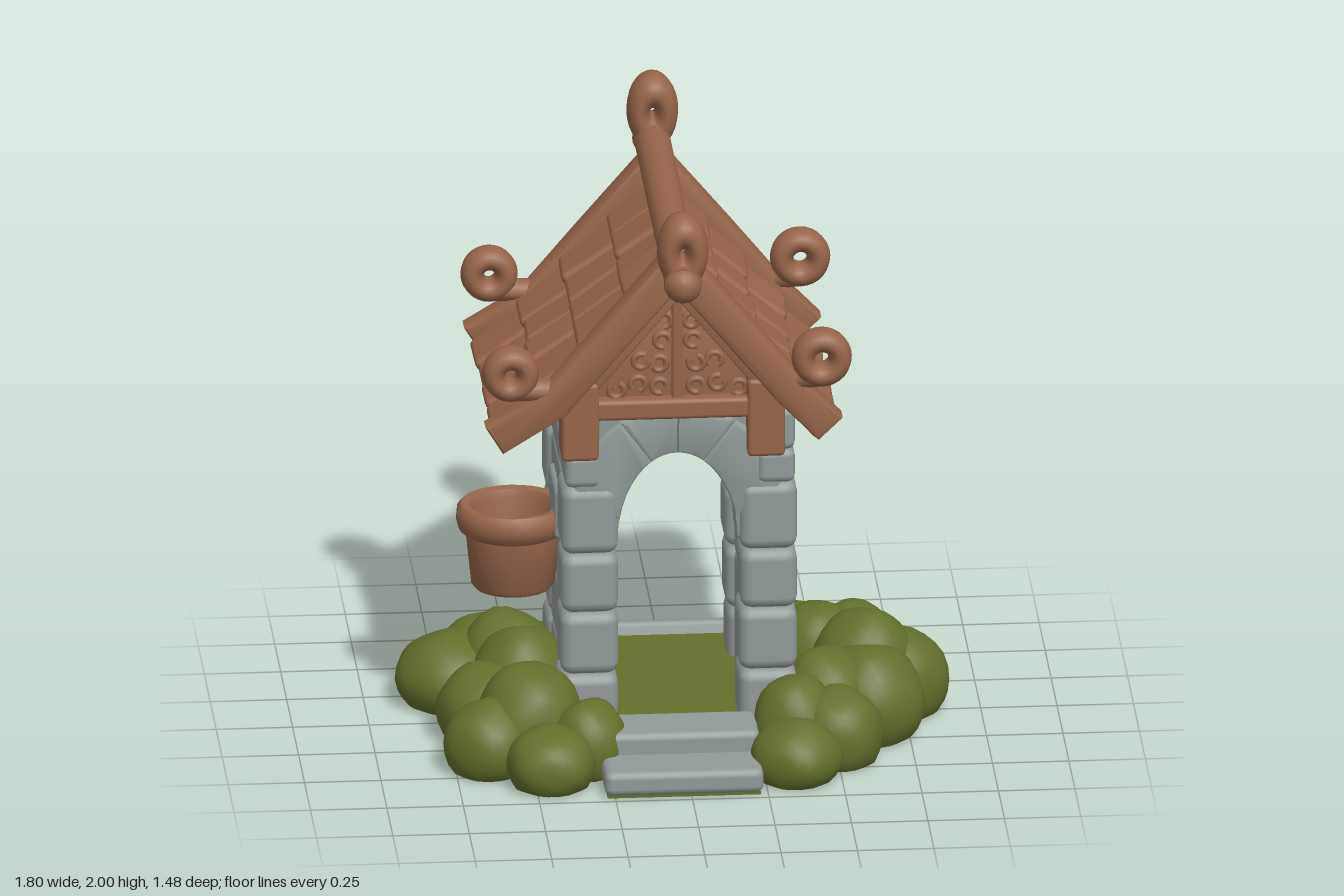
import * as THREE from 'three';
import { mergeVertices, toCreasedNormals } from 'three/addons/utils/BufferGeometryUtils.js';
import { RoundedBoxGeometry } from 'three/addons/geometries/RoundedBoxGeometry.js';

const mat = (name, color) => {
  const m = new THREE.MeshStandardMaterial({ color });
  m.name = name;
  return m;
};
const CX = -0.017; // centre line of the house

export function createModel() {
  const root = new THREE.Group();
  root.name = 'gardenShrine';
  const wood = mat('warm wood', 0x97654a);
  const stone = mat('grey stone', 0x909b98);
  const leaf = mat('moss green', 0x62702c);

  let seed = 7;
  const rnd = (a) => { seed = (seed * 16807) % 2147483647; return (seed / 2147483647 - 0.5) * 2 * a; };

  const group = (name) => { const g = new THREE.Group(); g.name = name; root.add(g); return g; };
  const add = (parent, name, geo, m, x = 0, y = 0, z = 0) => {
    const mesh = new THREE.Mesh(geo, m);
    mesh.name = name;
    mesh.position.set(x, y, z);
    parent.add(mesh);
    return mesh;
  };
  // rounded block given by its extents
  const block = (parent, name, m, x0, x1, y0, y1, z0, z1, r = 0.03) =>
    add(parent, name, new RoundedBoxGeometry(x1 - x0, y1 - y0, z1 - z0, 2, r), m,
      (x0 + x1) / 2, (y0 + y1) / 2, (z0 + z1) / 2);
  // bevelled plate from 2D points, centred on z
  const plate = (parent, name, m, pts, z, depth, bevel = 0.015) => {
    const geo = new THREE.ExtrudeGeometry(new THREE.Shape(pts.map(p => new THREE.Vector2(...p))), {
      depth: depth - 2 * bevel, bevelThickness: bevel, bevelSize: bevel, bevelOffset: -bevel, bevelSegments: 2,
    });
    geo.translate(0, 0, -depth / 2 + bevel);
    return add(parent, name, toCreasedNormals(geo, 0.7), m, 0, 0, z);
  };
  // outline of a bar following a 2D path
  const strip = (pts, w) => {
    const up = [], down = [];
    pts.forEach((p, i) => {
      const a = pts[Math.max(i - 1, 0)], b = pts[Math.min(i + 1, pts.length - 1)];
      const l = Math.hypot(b[0] - a[0], b[1] - a[1]);
      const nx = -(b[1] - a[1]) / l * w, ny = (b[0] - a[0]) / l * w;
      up.push([p[0] + nx, p[1] + ny]);
      down.unshift([p[0] - nx, p[1] - ny]);
    });
    return [...up, ...down];
  };

  // ---- ground mound with squarish outline
  const mound = new THREE.CylinderGeometry(0.92, 1, 0.12, 48, 1);
  const mp = mound.attributes.position;
  const sq = (v) => Math.sign(v) * Math.pow(Math.abs(v), 0.7);
  for (let i = 0; i < mp.count; i++) {
    const x = mp.getX(i), z = mp.getZ(i), r = Math.hypot(x, z) || 1;
    mp.setX(i, sq(x / r) * r * 0.64);
    mp.setZ(i, sq(z / r) * r * 0.58);
  }
  add(root, 'ground', toCreasedNormals(mound, 0.7), leaf, 0, 0.06, -0.025);
  add(root, 'groundUnderStep', new THREE.BoxGeometry(0.5, 0.012, 0.34), leaf, -0.025, 0.006, 0.55);

  // ---- bushes: lumps flattened at the ground [x, z, radius, height]
  const bushes = group('bushes');
  [
    [-0.71, -0.2, 0.19, 0.24], [-0.58, -0.39, 0.165, 0.22], [-0.41, -0.43, 0.14, 0.17], [-0.62, 0.15, 0.17, 0.26],
    [-0.64, 0.43, 0.15, 0.24], [-0.45, 0.58, 0.15, 0.2], [-0.32, 0.47, 0.13, 0.25], [-0.5, 0.35, 0.18, 0.335],
    [-0.5, 0.0, 0.17, 0.33], [-0.53, -0.2, 0.17, 0.31], [0.35, 0.58, 0.15, 0.2], [0.5, 0.43, 0.15, 0.25],
    [0.36, 0.4, 0.14, 0.29], [0.48, 0.24, 0.16, 0.32], [0.62, 0.2, 0.18, 0.31], [0.72, -0.02, 0.18, 0.28],
    [0.62, 0.0, 0.18, 0.355], [0.6, -0.25, 0.17, 0.28], [0.48, -0.22, 0.15, 0.3], [0.41, -0.43, 0.165, 0.21],
  ].forEach(([x, z, r, h], k) => {
    const raw = new THREE.IcosahedronGeometry(1, 4);
    raw.deleteAttribute('normal');
    raw.deleteAttribute('uv');
    const geo = mergeVertices(raw, 1e-3);
    const p = geo.attributes.position;
    for (let i = 0; i < p.count; i++) {
      const a = p.getX(i), b = p.getY(i), c = p.getZ(i);
      const lump = 1 + 0.06 * Math.sin(4 * a + k) * Math.sin(4 * c + 2 * k) * Math.cos(3 * b);
      p.setXYZ(i, a * r * lump, Math.max(0, h * 0.38 + b * h * 0.62 * lump), c * r * lump);
    }
    add(bushes, 'bushLump', toCreasedNormals(geo, 0.6), leaf, x, 0, z);
  });

  // ---- steps
  const steps = group('steps');
  block(steps, 'lowerStep', stone, -0.285, 0.235, 0.008, 0.09, 0.5, 0.735, 0.025);
  block(steps, 'upperStep', stone, -0.26, 0.235, 0.06, 0.16, 0.36, 0.565, 0.025);
  block(steps, 'backStep', stone, -0.28, 0.37, 0.065, 0.135, -0.605, -0.43, 0.02).rotation.x = -0.35;

  // ---- stone walls
  const walls = group('walls');
  const rows = [[0.02, 0.285], [0.285, 0.5], [0.5, 0.705], [0.705, 0.94], [0.94, 1.055], [1.055, 1.2]];
  for (const s of [-1, 1]) {
    const outer = s < 0 ? -0.4 : 0.375;
    const span = (inset, w) => [outer - s * inset, outer - s * w].sort((a, b) => a - b);
    rows.forEach(([y0, y1], i) => {
      const upper = i > 3, j = () => rnd(0.006);
      for (const [z0, z1] of [[0.13, 0.35], [-0.415, -0.21]]) {
        const [a, b] = span(upper ? 0.008 : 0, upper ? 0.13 : 0.19);
        block(walls, 'cornerStone', stone, a + j(), b, y0, y1, z0 + j(), z1, upper ? 0.025 : 0.038);
      }
      const [a, b] = span(0.012, upper ? 0.12 : 0.165);
      const mid = -0.03 + (i % 2 ? 0.03 : 0) + rnd(0.03);
      for (const [z0, z1] of i === 2 || upper ? [[-0.21, 0.13]] : [[mid, 0.13], [-0.21, mid]])
        block(walls, 'sideStone', stone, a, b, y0, y1, z0, z1, 0.018);
    });
    const [a, b] = span(0.03, 0.15);
    block(walls, 'wallCore', stone, a, b, 0.02, 1.18, -0.38, 0.32, 0.01);
  }
  // uneven chips on one side wall
  for (let i = 0; i < 4; i++)
    block(walls, 'chippedStone', stone, 0.34, 0.368, 0.75, 0.93, -0.19 + i * 0.075, -0.12 + i * 0.075, 0.012)
      .rotation.x = rnd(0.15);

  // ---- arches, a backing plate with wedge stones in front and behind
  const inner = (t) => [CX + 0.195 * Math.cos(t), 0.75 + 0.3 * Math.sin(t)];
  const outerArc = (t) => {
    const f = (v) => Math.sign(v) * Math.pow(Math.abs(v), 0.75);
    return [CX + 0.35 * f(Math.cos(t)), 0.75 + 0.445 * f(Math.sin(t))];
  };
  const arc = (fn, a, b, n) => Array.from({ length: n + 1 }, (_, i) => fn(a + (b - a) * i / n));
  const arches = group('arches');
  for (const z of [0.24, -0.31]) {
    plate(arches, 'archBacking', stone,
      [[0.33, 0.75], [0.33, 1.22], [-0.36, 1.22], [-0.36, 0.75], ...arc(inner, Math.PI, 0, 20)], z, 0.17, 0.005);
    const cuts = [0.25, 1.12, 1.57, 2.02, 2.9];
    for (let i = 0; i < 4; i++)
      plate(arches, 'archStone', stone,
        [...arc(inner, cuts[i], cuts[i + 1], 6), ...arc(outerArc, cuts[i + 1], cuts[i], 6)], z, 0.2, 0.014);
  }

  // ---- gables
  const gables = group('gables');
  for (const [z, s] of [[0.33, 1], [-0.405, -1]]) {
    plate(gables, 'gablePanel', wood, [[-0.38, 1.2], [0.33, 1.2], [CX, 1.66]], z - s * 0.02, 0.05, 0.005);
    block(gables, 'tieBeam', wood, -0.32, 0.27, 1.185, 1.255, z - 0.05, z + 0.05, 0.015);
    block(gables, 'kingPost', wood, CX - 0.02, CX + 0.015, 1.24, 1.6, z - 0.03, z + 0.03, 0.01);
    for (const x of [-0.34, 0.268])
      block(gables, 'cornerPost', wood, x - 0.06, x + 0.063, 1.05, 1.32, z - 0.07, z + 0.06, 0.015);
    // carved scrolls
    [[0.06, 1.29], [0.13, 1.3], [0.06, 1.37], [0.2, 1.28], [0.12, 1.38], [0.05, 1.45], [0.045, 1.52]].forEach(([dx, y], i) => {
      for (const m of [-1, 1]) {
        const scroll = add(gables, 'carvedScroll', new THREE.TorusGeometry(0.024, 0.011, 6, 14, 5), wood,
          CX + m * dx, y, z + s * 0.01);
        scroll.rotation.z = i * 1.3 * m;
      }
    });
  }

  // ---- roof: two slopes of shingles over a board
  const roof = group('roof');
  const top = new THREE.Vector2(-0.025, 1.715);
  const cols = [-0.43, -0.225, -0.03, 0.14, 0.36];
  for (const [ex, ey] of [[0.475, 1.135], [-0.6, 1.14]]) {
    const s = Math.sign(ex), dx = ex - top.x, dy = ey - top.y;
    const len = Math.hypot(dx, dy), slope = Math.atan2(dy, Math.abs(dx));
    const side = new THREE.Group();
    side.name = s > 0 ? 'leftSlope' : 'rightSlope';
    side.position.set(top.x, top.y, 0);
    side.rotation.y = s > 0 ? 0 : Math.PI;
    roof.add(side);
    const tilt = new THREE.Group();
    tilt.name = 'shingles';
    tilt.rotation.z = slope;
    side.add(tilt);
    add(tilt, 'roofBoard', new THREE.BoxGeometry(len - 0.02, 0.04, 0.8), wood, len / 2, -0.035, -0.035 * s);
    for (let r = 0; r < 4; r++) for (let c = 0; c < 4; c++) {
      const w = cols[c + 1] - cols[c];
      const tile = add(tilt, 'shingle', new RoundedBoxGeometry(len / 4 * 1.13, 0.05, w - 0.006, 2, 0.02), wood,
        (r + 0.5) * len / 4 + rnd(0.01), rnd(0.005), (cols[c] + w / 2) * s);
      tile.rotation.z = 0.17 + rnd(0.03);
      tile.rotation.x = rnd(0.04);
    }
  }

  // ---- barge boards with curled ends
  const boards = group('bargeBoards');
  const paths = [
    [[-0.025, 1.75], [0.17, 1.515], [0.34, 1.305], [0.475, 1.165]],
    [[-0.025, 1.75], [-0.24, 1.5], [-0.43, 1.275], [-0.625, 1.155]],
  ];
  const curls = [[0.445, 1.42, 0.06, 0.32, 1.33, 0.035], [-0.57, 1.38, 0.055, -0.4, 1.31, 0.005]];
  const curl = (parent, x, y, z, R, sy, sz) => {
    const c = add(parent, 'curl', new THREE.TorusGeometry(R, 0.039, 12, 28), wood, x, y, z);
    c.scale.set(1, sy, sz);
  };
  for (const z of [0.415, -0.49]) {
    paths.forEach(p => plate(boards, 'bargeBoard', wood, strip(p, 0.055), z, 0.105, 0.022));
    curls.forEach(([x, y, R, lx, ly, dz]) => {
      curl(boards, x, y, z + dz, R, 1, 1.5);
      const s = Math.sign(x);
      const path = new THREE.CatmullRomCurve3([[lx - s * 0.03, ly, 0], [lx + s * 0.03, ly + 0.005, 0], [x, y - R, dz]]
        .map(p => new THREE.Vector3(...p)));
      add(boards, 'curlStem', new THREE.TubeGeometry(path, 8, 0.037, 10), wood, 0, 0, z).scale.z = 1.25;
    });
  }
  // inner trim under the barge boards
  for (const z of [0.35, -0.425])
    for (const x of [0.31, -0.36])
      plate(boards, 'innerTrim', wood, strip([[CX, 1.655], [x, 1.25]], 0.035), z, 0.06, 0.012);

  // ---- ridge pole
  const ridge = group('ridge');
  add(ridge, 'ridgePole', new THREE.CylinderGeometry(0.06, 0.06, 1.38, 16), wood, -0.025, 1.775, 0).rotation.x = Math.PI / 2;
  for (const [z, e] of [[0.61, 0.665], [-0.665, -0.665]]) {
    add(ridge, 'poleEnd', new THREE.SphereGeometry(0.063, 16, 12), wood, -0.025, 1.77, e);
    curl(ridge, -0.022, 1.868, z, 0.046, 1.55, 1.95);
  }

  // ---- bucket set against the side wall
  const bucket = group('bucket');
  const profile = [[0, 0.48], [0.125, 0.48], [0.137, 0.495], [0.155, 0.67], [0.178, 0.685], [0.187, 0.72], [0.184, 0.755],
    [0.17, 0.77], [0.142, 0.765], [0.13, 0.74], [0.115, 0.56], [0, 0.56]].map(p => new THREE.Vector2(...p));
  add(bucket, 'bucketBody', toCreasedNormals(new THREE.LatheGeometry(profile, 28), 0.8), wood, -0.53, 0, 0.01)
    .scale.z = 0.92;
  // stone patch that hides the rim inside the wall
  block(bucket, 'wallPatch', stone, -0.405, -0.33, 0.68, 0.86, -0.12, 0.14, 0.02);
  return root;
}
